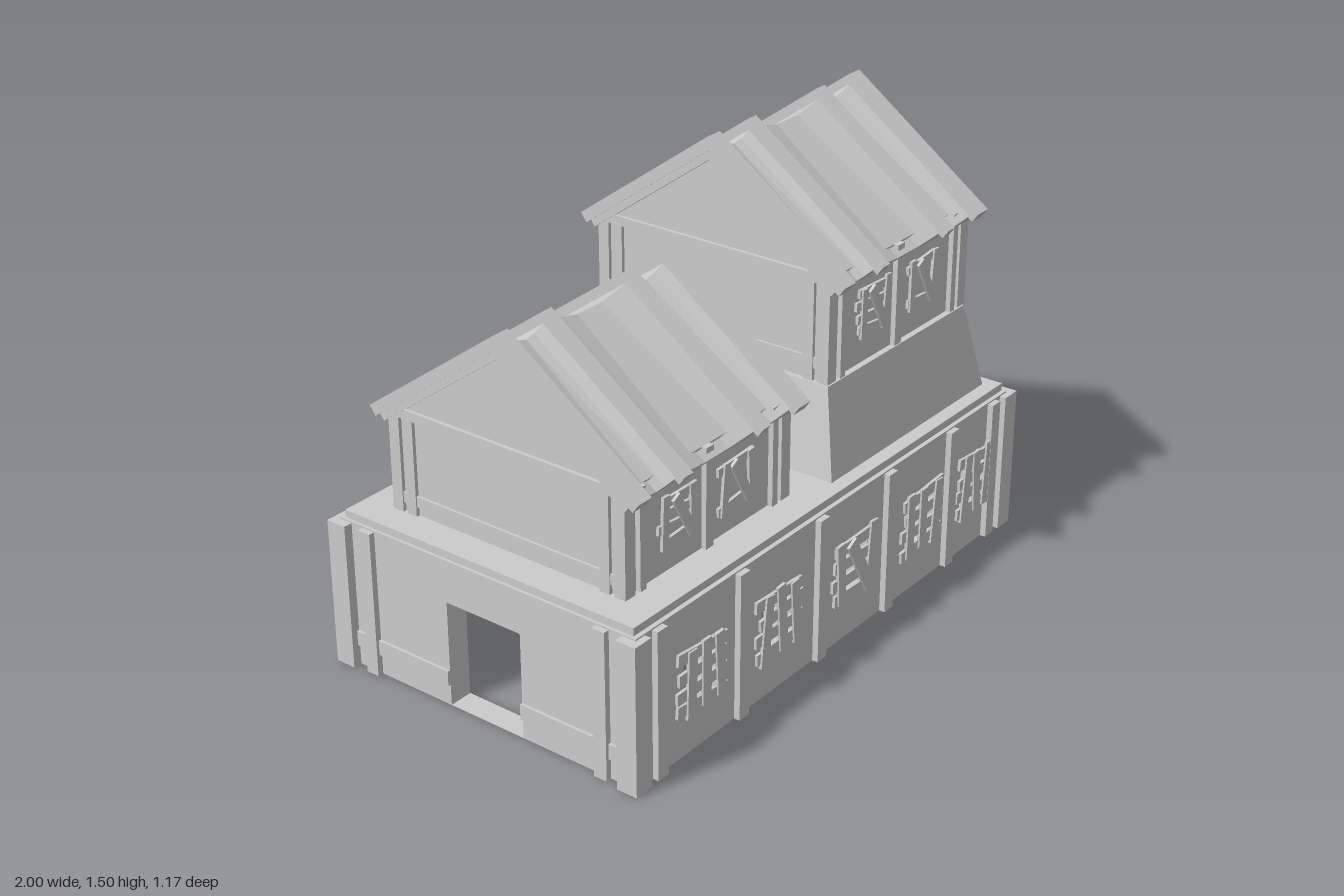
import * as THREE from 'three';

const grey = new THREE.MeshStandardMaterial({ color: 0xcccccc, flatShading: true, side: THREE.DoubleSide });

function add(parent, name, geo) {
  const m = new THREE.Mesh(geo, grey);
  m.name = name;
  parent.add(m);
  return m;
}

// Box given by its limits on each axis
function box(parent, name, x0, x1, y0, y1, z0, z1) {
  const m = add(parent, name, new THREE.BoxGeometry(x1 - x0, y1 - y0, z1 - z0));
  m.position.set((x0 + x1) / 2, (y0 + y1) / 2, (z0 + z1) / 2);
  return m;
}

function rect(Type, x0, x1, y0, y1) {
  return new Type([[x0, y0], [x1, y0], [x1, y1], [x0, y1]].map(p => new THREE.Vector2(...p)));
}

function seeded(seed) {
  let s = seed * 7919 + 13;
  return () => (s = (s * 16807) % 2147483647) / 2147483647;
}

// Wall panel with rectangular holes, its outer face at local z = 0
function wall(parent, name, w, h, holes, t = 0.08) {
  const shape = rect(THREE.Shape, -w / 2, w / 2, 0, h);
  holes.forEach(r => shape.holes.push(rect(THREE.Path, ...r)));
  const geo = new THREE.ExtrudeGeometry(shape, { depth: t, bevelEnabled: false });
  return add(parent, name, geo.translate(0, 0, -t));
}

// Crooked planks nailed over a window, facing local +z
function boards(parent, x, y, z, size, seed, style) {
  const g = new THREE.Group(), rnd = seeded(seed);
  g.name = 'boardedWindow';
  g.position.set(x, y, z);
  const plank = (px, py, w, h, a, pz) => {
    const m = add(g, 'plank', new THREE.BoxGeometry(w * size, h * size, 0.01));
    m.position.set(px * size, py * size, pz);
    m.rotation.z = a;
  };
  const tilt = k => (rnd() - 0.5) * k;
  const rows = style === 'slats' ? 2 : 4, cols = style === 'cross' ? 3 : 2;
  for (let i = 0; i < rows; i++) {
    const py = (i / (rows - 1) - 0.5) * 0.76;
    plank(tilt(0.1), py, 0.9 + rnd() * 0.15, 0.17, tilt(0.22), 0.003);
  }
  for (let i = 0; i < cols; i++) {
    const px = (i / (cols - 1) - 0.5) * (style === 'cross' ? 0.6 : 0.74);
    plank(px + tilt(0.08), tilt(0.08), 0.17, 0.9 + rnd() * 0.15, tilt(0.25), 0.009);
  }
  if (style !== 'cross') plank(0.08, 0, 0.2, 1.0, 0.5, 0.015);
  parent.add(g);
}

// Gable roof: slabs are drawn along x, pushed out along z, then sheared to the pitch
function roof(parent, ridgeY) {
  const g = new THREE.Group();
  g.name = 'roof';
  g.position.y = ridgeY;
  const pitch = 0.72;
  const slope = (name, points, reach) => {
    const shape = new THREE.Shape(points.map(p => new THREE.Vector2(...p)));
    for (const side of [1, -1]) {
      const geo = new THREE.ExtrudeGeometry(shape, { depth: reach, bevelEnabled: false });
      const p = geo.attributes.position;
      for (let i = 0; i < p.count; i++) {
        const u = p.getY(i), z = p.getZ(i) > 0.01 ? reach + u * 0.47 : 0;
        p.setXYZ(i, p.getX(i), u - pitch * z, z);
      }
      if (side < 0) geo.rotateY(Math.PI);
      if (side < 0) geo.scale(-1, 1, 1), flip(geo);
      geo.computeVertexNormals();
      add(g, name, geo);
    }
  };
  const rafters = [[-0.4, -0.343], [-0.197, -0.16], [0.168, 0.205], [0.342, 0.4]];
  for (const [a, b] of rafters) slope('rafter', [[a, -0.045], [b, -0.045], [b, 0], [a, 0]], 0.5);
  // Covering that sags between the rafters
  slope('sheeting', [
    [-0.395, -0.075], [0.395, -0.075], [0.395, -0.04], [0.342, -0.035], [0.3, -0.05], [0.26, -0.06],
    [0.23, -0.05], [0.205, -0.03], [0.13, -0.047], [0.06, -0.06], [-0.05, -0.06], [-0.11, -0.046],
    [-0.16, -0.032], [-0.197, -0.037], [-0.235, -0.053], [-0.27, -0.06], [-0.343, -0.04], [-0.395, -0.04]
  ], 0.485);
  parent.add(g);
}

// Reverse the winding after a mirror
function flip(geo) {
  const p = geo.attributes.position, a = new THREE.Vector3(), b = new THREE.Vector3();
  for (let i = 0; i < p.count; i += 3) {
    a.fromBufferAttribute(p, i + 1);
    b.fromBufferAttribute(p, i + 2);
    p.setXYZ(i + 1, b.x, b.y, b.z);
    p.setXYZ(i + 2, a.x, a.y, a.z);
  }
}

// Timbered upper house, base at local y = 0, centred on x and z
function house(name, x, y, seed) {
  const g = new THREE.Group();
  g.name = name;
  g.position.set(x, y, 0);
  const W = 0.375, D = 0.425, H = 0.335;
  const outline = new THREE.Shape([[-D, 0], [D, 0], [D, H], [0, H + 0.3], [-D, H]].map(p => new THREE.Vector2(...p)));
  const geo = new THREE.ExtrudeGeometry(outline, { depth: 2 * W, bevelEnabled: false });
  add(g, 'gabledWalls', geo.translate(0, 0, -W).rotateY(Math.PI / 2));
  for (const sx of [-1, 1]) {
    const x0 = sx > 0 ? W - 0.03 : -W - 0.012, x1 = x0 + 0.042;
    for (const sz of [-1, 1]) {
      const c = sz * 0.42, s = sz * 0.365;
      box(g, 'cornerPost', sx * 0.365 - 0.022, sx * 0.365 + 0.022, 0, H, c - 0.02, c + 0.02);
      box(g, 'endPost', x0, x1, 0, H, s - 0.018, s + 0.018);
      box(g, 'facePost', sx * 0.31 - 0.013, sx * 0.31 + 0.013, 0, H, sz * 0.43 - 0.012, sz * 0.43 + 0.012);
    }
    box(g, 'endRail', x0 + 0.004, x1 - 0.004, 0.04, 0.075, -0.42, 0.42);
    box(g, 'tieBeam', x0, x1, H - 0.015, H + 0.015, -0.43, 0.43);
  }
  for (const sz of [-1, 1]) {
    box(g, 'middlePost', -0.025, 0.01, 0, H, sz * 0.43 - 0.012, sz * 0.43 + 0.012);
    const face = new THREE.Group();
    face.name = 'windowFace';
    face.rotation.y = sz > 0 ? 0 : Math.PI;
    boards(face, -0.14, 0.17, D + 0.003, 0.165, seed + sz, sz > 0 ? 'mixed' : 'slats');
    boards(face, 0.13, 0.165, D + 0.003, 0.165, seed + 5 + sz, 'slats');
    g.add(face);
  }
  roof(g, 0.695);
  return g;
}

export function createModel() {
  const model = new THREE.Group();
  model.name = 'timberedBuilding';

  // Hollow ground floor with window openings and an end doorway
  const base = new THREE.Group();
  base.name = 'groundFloor';
  model.add(base);
  const X = 0.97, Z = 0.56, top = 0.49;
  const windows = [-0.68, -0.31, 0.08, 0.46, 0.785];
  const styles = ['cross', 'cross', 'mixed', 'cross', 'cross'];
  const backStyles = ['slats', 'slats', 'cross', 'cross', 'slats'];
  for (const sz of [1, -1]) {
    const xs = windows.map(x => x * sz);
    const m = wall(base, sz > 0 ? 'frontWall' : 'backWall', 2 * X, top, xs.map(x => [x - 0.08, x + 0.08, 0.14, 0.34]));
    m.position.z = sz * Z;
    m.rotation.y = sz > 0 ? 0 : Math.PI;
    xs.forEach((x, i) => boards(m, x, 0.24, 0.005, 0.225, i + 3 + sz * 2, sz > 0 ? styles[i] : backStyles[i]));
    for (const x of [-0.877, -0.497, -0.1, 0.268, 0.625, 0.877])
      box(base, 'wallPost', x - 0.023, x + 0.023, 0, 0.485, sz * 0.565 - 0.015, sz * 0.565 + 0.015);
  }
  const rightEnd = wall(base, 'windowEndWall', 0.96, top, [[-0.1, 0.08, 0.15, 0.36]]);
  rightEnd.position.x = X;
  rightEnd.rotation.y = Math.PI / 2;
  boards(rightEnd, -0.01, 0.255, 0.006, 0.23, 21, 'mixed');
  const leftEnd = wall(base, 'doorwayEndWall', 0.96, top, [[-0.14, 0.14, 0.0005, 0.35]]);
  leftEnd.position.x = -X;
  leftEnd.rotation.y = -Math.PI / 2;
  for (const sx of [-1, 1]) {
    for (const sz of [-1, 1]) {
      const cx = sx * 0.965, cz = sz * 0.547, pz = sz * 0.443;
      box(base, 'cornerPost', cx - 0.035, cx + 0.035, 0, 0.485, cz - 0.035, cz + 0.035);
      box(base, 'endPost', sx * 0.97 - 0.02, sx * 0.97 + 0.02, 0, 0.485, pz - 0.023, pz + 0.023);
    }
    // The low rail runs unbroken except at the doorway
    const spans = sx > 0 ? [[-0.51, 0.51]] : [[-0.51, -0.14], [0.14, 0.51]];
    for (const [a, b] of spans) box(base, 'lowRail', sx * 0.97 - 0.01, sx * 0.97 + 0.01, 0.07, 0.12, a, b);
  }

  // Flat deck, open beneath each upper house
  const deck = rect(THREE.Shape, -0.96, 0.965, -0.545, 0.545);
  deck.holes.push(rect(THREE.Path, -0.82, -0.15, -0.38, 0.38), rect(THREE.Path, 0.09, 0.88, -0.46, 0.46));
  const deckMesh = add(model, 'deck', new THREE.ExtrudeGeometry(deck, { depth: 0.045, bevelEnabled: false }));
  deckMesh.rotation.x = -Math.PI / 2;
  deckMesh.position.y = 0.47;

  // Tapered hollow skirt below the tall house
  const skirt = new THREE.CylinderGeometry(Math.SQRT1_2, Math.SQRT1_2, 0.285, 4, 1, true).rotateY(Math.PI / 4);
  const p = skirt.attributes.position;
  for (let i = 0; i < p.count; i++) {
    const up = p.getY(i) > 0;
    p.setX(i, Math.sign(p.getX(i)) * (up ? 0.385 : 0.435));
    p.setZ(i, Math.sign(p.getZ(i)) * (up ? 0.44 : 0.497));
  }
  add(model, 'taperedSkirt', skirt).position.set(0.485, 0.6575, 0);
  box(model, 'skirtTop', 0.1, 0.87, 0.785, 0.8, -0.44, 0.44);

  model.add(house('tallHouse', 0.485, 0.805, 40));
  model.add(house('lowHouse', -0.477, 0.505, 60));
  return model;
}
